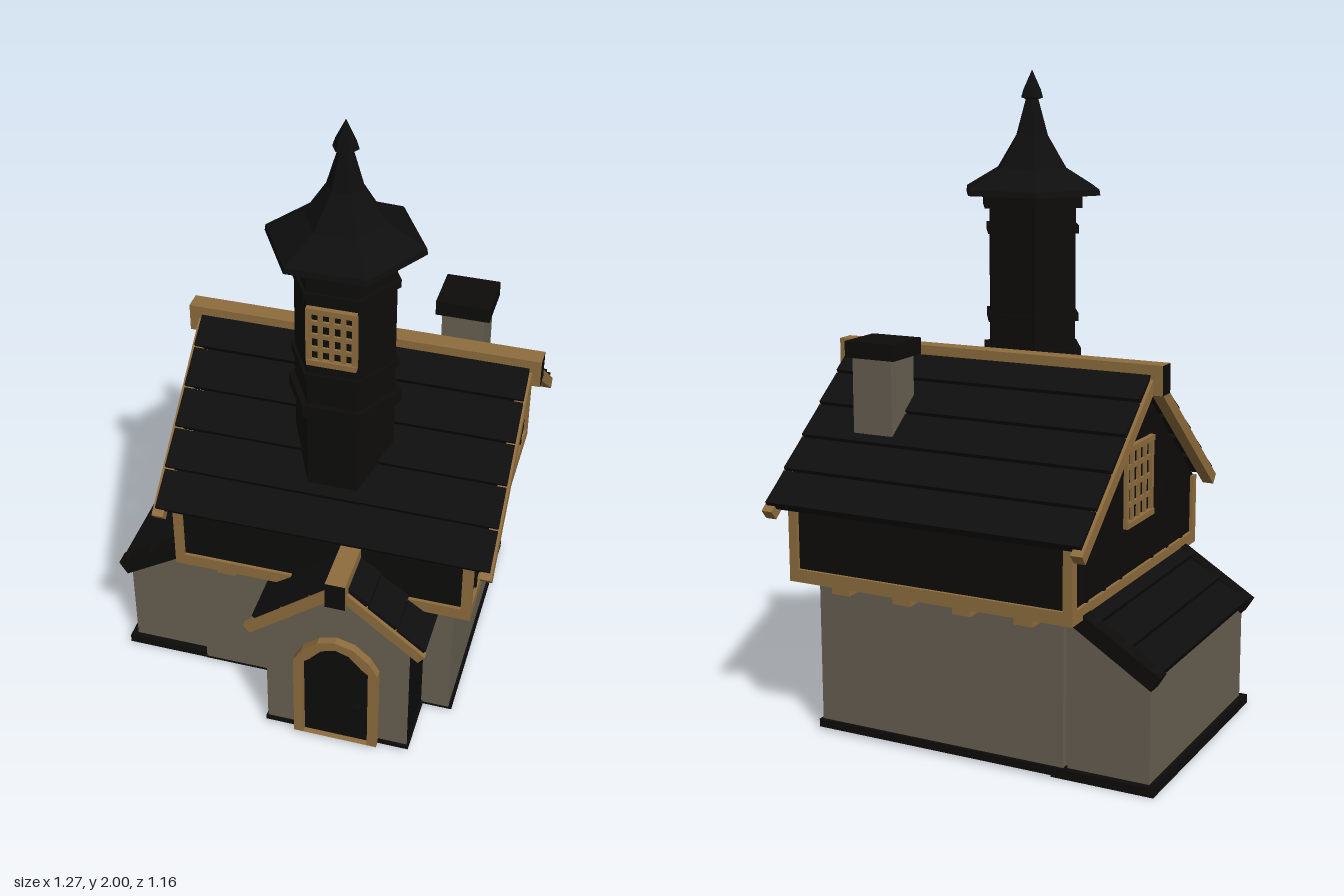
import * as THREE from 'three';

const mat = (name, color) => Object.assign(new THREE.MeshStandardMaterial({ color }), { name });

export function createModel() {
  const model = new THREE.Group();
  model.name = 'house';
  const plaster = mat('grey plaster', 0x665f51);
  const timber = mat('tan timber', 0x8e6d3d);
  const dark = mat('dark planks', 0x0d0c0b);
  const tiles = mat('dark roof tiles', 0x0e0e0e);

  const add = (name, geometry, material, parent = model) => {
    const mesh = new THREE.Mesh(geometry, material);
    mesh.name = name;
    parent.add(mesh);
    return mesh;
  };
  // Box given by its limits
  const box = (name, material, x0, x1, y0, y1, z0, z1, parent) => {
    const mesh = add(name, new THREE.BoxGeometry(x1 - x0, y1 - y0, z1 - z0), material, parent);
    mesh.position.set((x0 + x1) / 2, (y0 + y1) / 2, (z0 + z1) / 2);
    return mesh;
  };
  // Sloping board from a to b; profile lies in (x, y) or in (z, y), and w0..w1 is its width
  const board = (name, material, plane, a, b, t, w0, w1) => {
    const du = b[0] - a[0], dy = b[1] - a[1], len = Math.hypot(du, dy), w = w1 - w0;
    const u = (a[0] + b[0]) / 2, y = (a[1] + b[1]) / 2, c = (w0 + w1) / 2;
    const alongX = plane === 'xy';
    const mesh = add(name, new THREE.BoxGeometry(alongX ? len : w, t, alongX ? w : len), material);
    if (alongX) {
      mesh.position.set(u, y, c);
      mesh.rotation.z = Math.atan2(dy, du);
    } else {
      mesh.position.set(c, y, u);
      mesh.rotation.x = -Math.atan2(dy, du);
    }
    return mesh;
  };
  // Overlapping courses, each slightly tilted above the one below it
  const courses = (name, plane, a, b, count, t, w0, w1) => {
    for (let i = 0; i < count; i++) {
      const at = (k, lift) => [a[0] + (b[0] - a[0]) * k, a[1] + (b[1] - a[1]) * k + lift];
      board(name, tiles, plane, at(i / count, -0.005), at((i + 1) / count, 0.005), t, w0, w1);
    }
  };
  const prism = (name, material, points, depth) => {
    const shape = new THREE.Shape(points.map(p => new THREE.Vector2(...p)));
    return add(name, new THREE.ExtrudeGeometry(shape, { depth, bevelEnabled: false }), material);
  };
  const endsDark = [dark, dark, timber, timber, timber, timber];
  const frontDark = [timber, timber, timber, timber, dark, dark];

  // Ground floor
  box('groundFloorWalls', plaster, -0.34, 0.48, 0.03, 0.5, -0.46, 0.35);
  box('groundFloorBase', dark, -0.345, 0.488, 0.01, 0.035, -0.47, 0.34);

  // Overhanging upper floor
  box('upperFloorFrame', timber, -0.4, 0.54, 0.49, 0.53, -0.53, 0.41);
  const gable = [[-0.4, 0.52], [0.52, 0.52], [0.52, 0.72], [0.06, 1.11], [-0.4, 0.72]];
  const upper = prism('upperFloorWalls', dark, gable, 0.92);
  upper.rotation.y = Math.PI / 2;
  upper.position.x = -0.39;
  for (const x of [-0.4, 0.51]) for (const z of [-0.53, 0.38])
    box('cornerPost', timber, x, x + 0.03, 0.5, 0.715, z, z + 0.03);
  for (const z of [-0.4, -0.2, 0.02, 0.22]) {
    box('sideJoist', timber, 0.47, 0.525, 0.465, 0.49, z, z + 0.06);
    box('sideJoist', timber, -0.385, -0.33, 0.465, 0.49, z, z + 0.06);
  }
  for (const x of [-0.27, -0.07, 0.13, 0.34]) {
    box('backJoist', timber, x, x + 0.06, 0.465, 0.49, -0.515, -0.45);
    box('frontJoist', timber, x, x + 0.06, 0.465, 0.49, 0.34, 0.395);
  }
  // Thin plank battens on the gables
  for (let i = -3; i <= 3; i++) {
    const z = -0.06 + i * 0.12, top = 1.08 - Math.abs(i) * 0.1;
    box('gableBatten', dark, 0.53, 0.536, 0.53, top, z - 0.006, z + 0.006);
    if (i) box('gableBatten', dark, -0.396, -0.39, 0.53, top, z - 0.006, z + 0.006);
  }

  // Main roof
  for (const s of [-1, 1]) {
    const zy = (d, y) => [-0.06 + s * d, y];
    courses('mainRoofCourse', 'zy', zy(0, 1.14), zy(0.5, 0.722), 5, 0.028, -0.44, 0.595);
    for (const x of [-0.45, 0.567])
      board('gableBoard', timber, 'zy', zy(0, 1.118), zy(0.505, 0.698), 0.036, x, x + 0.036);
  }
  box('mainRidgeBeam', endsDark, -0.48, 0.63, 1.07, 1.16, -0.09, -0.032);

  // Chimney
  box('chimneyStack', plaster, 0.285, 0.42, 0.8, 1.17, -0.345, -0.215);
  box('chimneyCap', dark, 0.267, 0.437, 1.155, 1.205, -0.36, -0.2);

  // Latticed window facing +z, centred on its group's origin
  const lattice = (name, w, h) => {
    const g = new THREE.Group();
    g.name = name;
    model.add(g);
    for (const s of [-1, 1]) {
      box('windowSill', timber, -w / 2 - 0.006, w / 2 + 0.006, s * h / 2 - 0.009, s * h / 2 + 0.009, 0, 0.016, g);
      box('windowSide', timber, s * w / 2 - 0.008, s * w / 2 + 0.008, -h / 2, h / 2, 0, 0.012, g);
    }
    for (let i = 1; i < 4; i++) {
      const x = (i / 4 - 0.5) * w, y = (i / 4 - 0.5) * h;
      box('windowBar', timber, x - 0.007, x + 0.007, -h / 2, h / 2, 0, 0.009, g);
      box('windowBar', timber, -w / 2, w / 2, y - 0.007, y + 0.007, 0, 0.008, g);
    }
    return g;
  };
  lattice('towerWindow', 0.135, 0.175).position.set(0.085, 1.385, 0.322);
  const gableWindow = lattice('gableWindow', 0.19, 0.23);
  gableWindow.position.set(-0.39, 0.8, -0.06);
  gableWindow.rotation.y = -Math.PI / 2;

  // Six-sided tower, bands and spire
  const hex = (name, material, profile) => {
    const lathe = new THREE.LatheGeometry(profile.map(p => new THREE.Vector2(...p)), 6);
    const geometry = lathe.toNonIndexed();
    geometry.computeVertexNormals();
    const mesh = add(name, geometry, material);
    mesh.position.set(0.085, 0, 0.19);
    mesh.rotation.y = Math.PI / 6;
  };
  hex('towerShaft', dark, [[0, 0.7], [0.152, 0.7], [0.152, 1.62], [0, 1.62]]);
  for (const [y, h, r] of [[1.1, 0.04, 0.172], [1.225, 0.025, 0.163], [1.5, 0.025, 0.163], [1.58, 0.045, 0.175]])
    hex('towerBand', dark, [[0.14, y], [r, y], [r, y + h], [0.14, y + h]]);
  hex('spire', tiles, [[0, 1.62], [0.235, 1.62], [0.232, 1.638], [0.12, 1.7], [0.055, 1.8],
    [0.022, 1.91], [0.038, 1.915], [0.03, 1.94], [0, 2]]);

  // Lean-to on the right side
  const lean = prism('leanToWalls', plaster, [[-0.6, 0.02], [-0.33, 0.02], [-0.33, 0.51], [-0.6, 0.34]], 0.75);
  lean.position.z = -0.44;
  courses('leanToRoofCourse', 'xy', [-0.335, 0.525], [-0.622, 0.347], 3, 0.026, -0.455, 0.325);
  for (const z of [-0.46, 0.28])
    board('leanToRafter', dark, 'xy', [-0.335, 0.515], [-0.622, 0.335], 0.05, z, z + 0.05);
  box('leanToBaseSide', dark, -0.62, -0.592, 0, 0.028, -0.46, 0.33);
  for (const z of [-0.46, 0.302])
    box('leanToBaseEnd', dark, -0.62, -0.3, 0, 0.028, z, z + 0.028);

  // Porch
  const porch = prism('porchWalls', [plaster, dark],
    [[-0.065, 0.025], [0.39, 0.025], [0.39, 0.45], [0.165, 0.635], [-0.065, 0.45]], 0.2);
  porch.position.z = 0.342;
  box('porchBase', dark, -0.07, 0.395, 0.018, 0.034, 0.34, 0.547);
  for (const s of [-1, 1]) {
    courses('porchRoofCourse', 'xy', [0.165, 0.665], [0.165 + s * 0.265, 0.448], 3, 0.026, 0.36, 0.543);
    board('porchGableBoard', timber, 'xy', [0.165, 0.642],
      [0.165 + s * (s > 0 ? 0.262 : 0.288), s > 0 ? 0.434 : 0.413], 0.034, 0.535, 0.556);
  }
  box('porchRidgeBeam', frontDark, 0.135, 0.197, 0.6, 0.692, 0.4, 0.58);

  // Arched door and surround
  const arch = (w, top) => [[-w, 0.02], [w, 0.02], [w, 0.335], [w * 0.8, top - 0.06], [w * 0.42, top - 0.015],
    [0, top], [-w * 0.42, top - 0.015], [-w * 0.8, top - 0.06], [-w, 0.335]].map(([x, y]) => new THREE.Vector2(x, y));
  const surround = new THREE.Shape(arch(0.134, 0.442));
  surround.holes.push(new THREE.Path(arch(0.104, 0.412)));
  add('doorSurround', new THREE.ExtrudeGeometry(surround, { depth: 0.028, bevelEnabled: false }), timber)
    .position.set(0.163, 0, 0.54);
  add('door', new THREE.ExtrudeGeometry(new THREE.Shape(arch(0.106, 0.414)), { depth: 0.009, bevelEnabled: false }), dark)
    .position.set(0.163, 0, 0.54);
  box('doorHandle', dark, 0.22, 0.245, 0.12, 0.18, 0.545, 0.572);

  return model;
}
